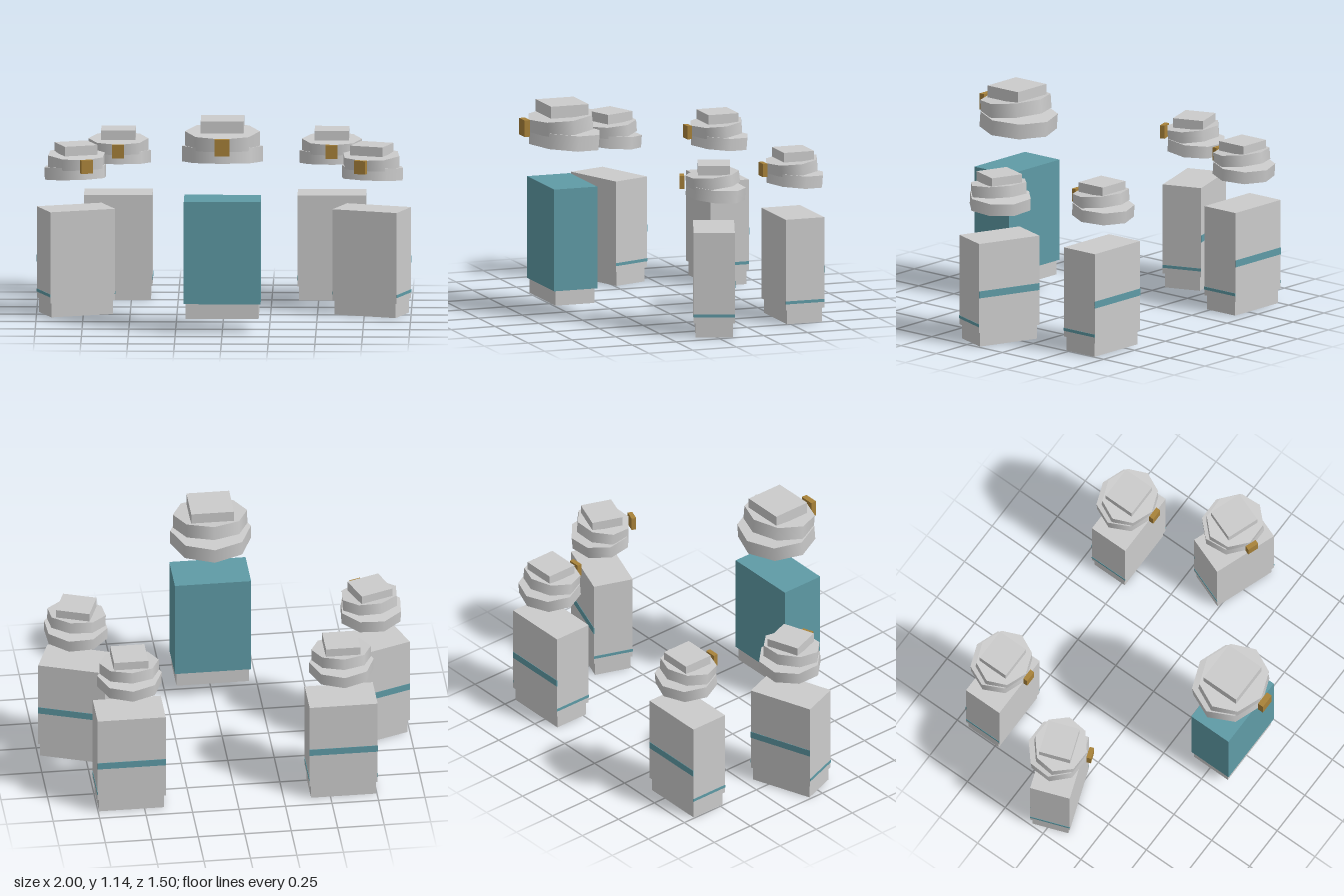
import * as THREE from 'three';

const mat = (color) => new THREE.MeshStandardMaterial({ color });
const grey = mat(0xcccccc);
const teal = mat(0x5f9ba6);
const gold = mat(0xa8823a);

function add(parent, name, geometry, material, x, y, z) {
  const mesh = new THREE.Mesh(geometry, material);
  mesh.name = name;
  mesh.position.set(x, y, z);
  parent.add(mesh);
  return mesh;
}

function box(parent, name, w, h, d, material, x, y, z) {
  return add(parent, name, new THREE.BoxGeometry(w, h, d), material, x, y, z);
}

// Eight-sided, slightly oval disc tilted forwards or backwards
function disc(parent, name, rx, rz, h, y, z, tilt) {
  const geometry = new THREE.CylinderGeometry(1, 1, h, 8);
  geometry.scale(rx, 1, rz);
  add(parent, name, geometry, grey, 0, y, z).rotation.x = tilt;
}

// Floating cap: two tilted discs, a square crown and a front badge
function makeCap(scale) {
  const cap = new THREE.Group();
  cap.name = 'cap';
  disc(cap, 'capBrim', 0.217, 0.199, 0.083, 0.952, -0.012, -0.087);
  disc(cap, 'capBand', 0.2, 0.18, 0.077, 1.038, 0.008, 0.092);
  box(cap, 'capCrown', 0.23, 0.065, 0.215, grey, 0, 1.112, 0);
  box(cap, 'capBadge', 0.08, 0.09, 0.032, gold, 0, 1.02, 0.214);
  cap.scale.setScalar(scale);
  return cap;
}

// Leading figure: teal block raised above the ground
function makeLeader() {
  const figure = new THREE.Group();
  figure.name = 'leader';
  box(figure, 'body', 0.41, 0.553, 0.246, teal, 0, 0.435, 0);
  box(figure, 'base', 0.39, 0.08, 0.223, grey, 0, 0.118, 0);
  figure.add(makeCap(1));
  return figure;
}

// Following figure: grey block with side and back stripes
function makeFollower() {
  const figure = new THREE.Group();
  figure.name = 'follower';
  const w = 0.366, d = 0.22;
  box(figure, 'body', w, 0.492, d, grey, 0, 0.324, 0);
  box(figure, 'base', 0.348, 0.08, 0.2, grey, 0, 0.04, 0);
  for (const side of [-1, 1]) {
    box(figure, 'sideStripe', 0.004, 0.016, d, teal, side * w / 2, 0.118, 0);
  }
  box(figure, 'backStripe', w, 0.038, 0.004, teal, 0, 0.289, -d / 2);
  figure.add(makeCap(0.8));
  return figure;
}

export function createModel() {
  const model = new THREE.Group();
  model.name = 'figureGroup';

  const leader = makeLeader();
  leader.position.z = 0.522;
  model.add(leader);

  // Mirrored pairs: outer figures turn inwards, rear figures face forward
  for (const side of [-1, 1]) {
    const outer = makeFollower();
    outer.position.set(side * 0.79, 0, -0.045);
    outer.rotation.y = -side * THREE.MathUtils.degToRad(20);
    const rear = makeFollower();
    rear.position.set(side * 0.57, 0, -0.58);
    model.add(outer, rear);
  }
  return model;
}
